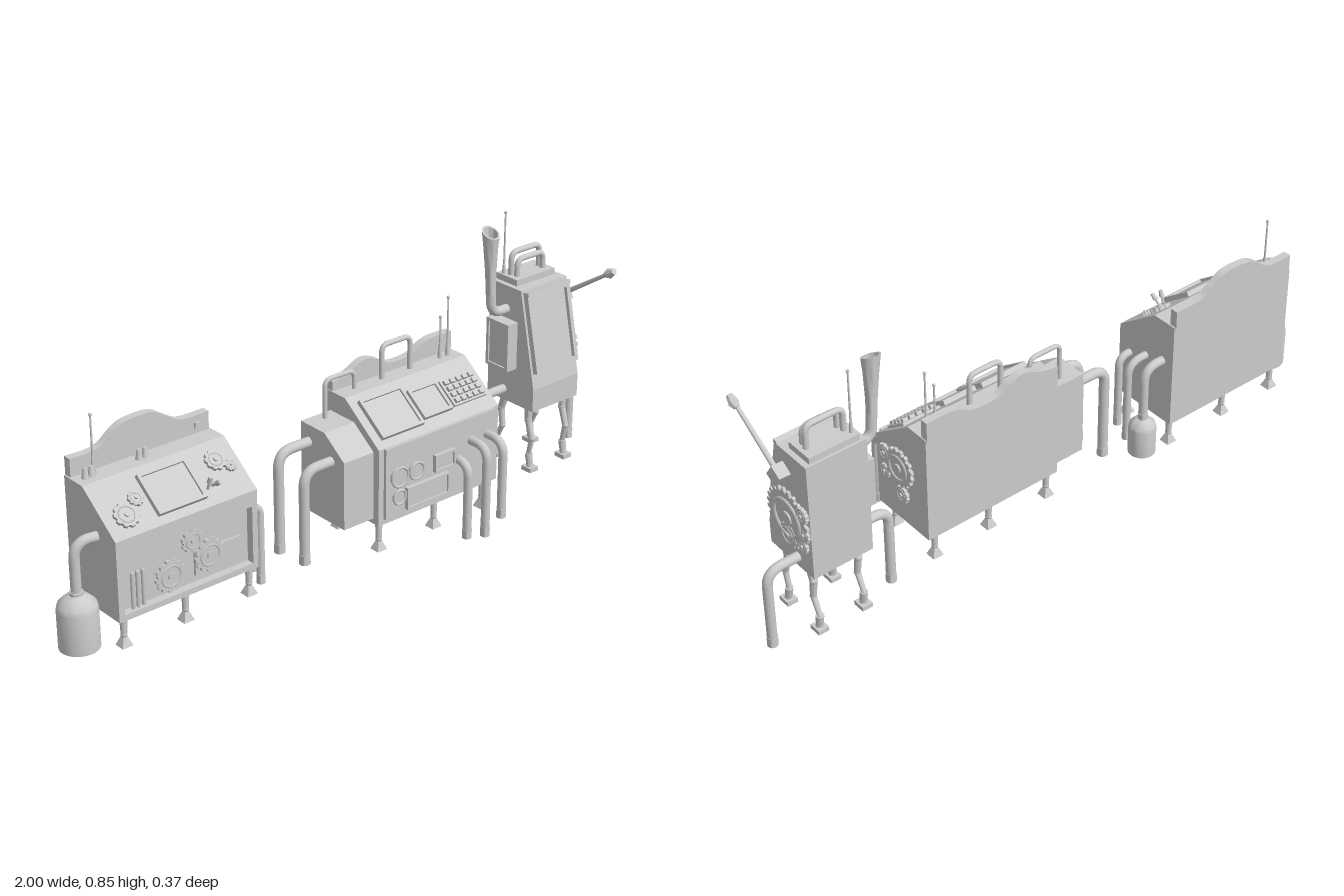
import * as THREE from 'three';
import { toCreasedNormals } from 'three/addons/utils/BufferGeometryUtils.js';

const grey = new THREE.MeshStandardMaterial({ color: 0xcccccc, side: THREE.DoubleSide });
const V = (x, y, z) => new THREE.Vector3(x, y, z);

function add(parent, name, geo, x = 0, y = 0, z = 0, rx = 0, ry = 0, rz = 0) {
  const m = new THREE.Mesh(geo, grey);
  m.name = name;
  m.position.set(x, y, z);
  m.rotation.set(rx, ry, rz);
  parent.add(m);
  return m;
}
function group(parent, name, x = 0, y = 0, z = 0, rx = 0) {
  const g = new THREE.Group();
  g.name = name;
  g.position.set(x, y, z);
  g.rotation.x = rx;
  parent.add(g);
  return g;
}
const box = (w, h, d) => new THREE.BoxGeometry(w, h, d);
const cyl = (r1, r2, h, n = 20) => toCreasedNormals(new THREE.CylinderGeometry(r1, r2, h, n), 0.7);
const polygon = pts => new THREE.Shape(pts.map(p => new THREE.Vector2(p[0], p[1])));
const extrude = (shape, depth) => new THREE.ExtrudeGeometry(shape, { depth, bevelEnabled: false });

// side profile given as [z, y], swept between x0 and x1
const sweepX = (parent, name, pts, x0, x1) =>
  add(parent, name, extrude(polygon(pts), x1 - x0), x1, 0, 0, 0, -Math.PI / 2);

// rectangular frame facing +z
function frame(w, h, border, depth) {
  const rect = (a, b) => [[-a, -b], [a, -b], [a, b], [-a, b]];
  const s = polygon(rect(w / 2, h / 2));
  s.holes.push(polygon(rect(w / 2 - border, h / 2 - border)));
  return extrude(s, depth);
}

// tube through points with rounded corners and a closed collar at its end
function pipe(parent, name, pts, r, bend = 0.05, collar = true) {
  const path = new THREE.CurvePath();
  let from = pts[0];
  for (let i = 1; i < pts.length - 1; i++) {
    const a = pts[i].clone().add(pts[i - 1].clone().sub(pts[i]).setLength(bend));
    const b = pts[i].clone().add(pts[i + 1].clone().sub(pts[i]).setLength(bend));
    path.add(new THREE.LineCurve3(from, a));
    path.add(new THREE.QuadraticBezierCurve3(a, pts[i], b));
    from = b;
  }
  const end = pts[pts.length - 1];
  path.add(new THREE.LineCurve3(from, end));
  add(parent, name, new THREE.TubeGeometry(path, 48, r, 14), 0, 0, 0);
  if (collar) add(parent, name + 'Collar', cyl(r * 1.08, r * 1.08, 0.03), end.x, end.y + 0.015, end.z);
}
const handle = (parent, x0, y0, x1, y1, top, z, r) =>
  pipe(parent, 'handle', [V(x0, y0, z), V(x0, top, z), V(x1, top, z), V(x1, y1, z)], r, 0.025, false);

// toothed wheel facing +z, with a raised hub
function gear(parent, r, x, y, z, rx = 0, ry = 0, depth = 0.01) {
  const teeth = Math.max(10, Math.round(r * 260)), pts = [];
  for (let i = 0; i < teeth; i++)
    [[0, 0.88], [0.25, 0.88], [0.4, 1], [0.8, 1]].forEach(([f, k]) => {
      const a = (i + f) / teeth * Math.PI * 2;
      pts.push([Math.cos(a) * r * k, Math.sin(a) * r * k]);
    });
  const m = add(parent, 'gear', extrude(polygon(pts), depth), x, y, z, rx, ry);
  add(m, 'gearHub', cyl(r * 0.22, r * 0.22, 0.006), 0, 0, depth + 0.002, Math.PI / 2);
  add(m, 'gearRing', new THREE.TorusGeometry(r * 0.62, r * 0.06, 6, 28), 0, 0, depth);
}
function antenna(parent, x, y, z, h) {
  add(parent, 'antennaBase', cyl(0.004, 0.008, 0.05), x, y + 0.025, z);
  add(parent, 'antennaRod', cyl(0.0025, 0.0035, h), x, y + h / 2, z);
  add(parent, 'antennaTip', new THREE.SphereGeometry(0.005, 10, 8), x, y + h - 0.004, z);
}
function shortLeg(parent, x, z, top) {
  add(parent, 'legPost', cyl(0.011, 0.009, top - 0.065), x, (top + 0.065) / 2, z);
  add(parent, 'legAnkle', new THREE.SphereGeometry(0.01, 12, 8), x, 0.064, z);
  add(parent, 'legFoot', new THREE.CylinderGeometry(0.008, 0.025, 0.03, 4).toNonIndexed(), x, 0.045, z, 0, Math.PI / 4)
    .geometry.computeVertexNormals();
}
// curved-top panel at the rear of a console
function backboard(parent, x0, x1, base, top, z) {
  const s = new THREE.Shape();
  s.moveTo(x0, base);
  s.lineTo(top[0][0], top[0][1]);
  s.splineThru(top.slice(1).map(p => new THREE.Vector2(p[0], p[1])));
  s.lineTo(x1, base);
  add(parent, 'backboard', extrude(s, 0.025), 0, 0, z);
}
function tank(parent, x, z, r, h) {
  const p = [[0, 0], [r, 0], [r, h * 0.7], [r * 0.93, h * 0.79], [r * 0.6, h * 0.9], [r * 0.34, h * 0.95], [r * 0.34, h], [0, h]];
  add(parent, 'tank', toCreasedNormals(new THREE.LatheGeometry(p.map(q => new THREE.Vector2(...q)), 32), 0.9), x, 0.027, z);
}
const tilt = Math.atan2(0.11, 0.145);
function screen(parent, x, z, w, h) {
  add(parent, 'screen', box(w, 0.008, h), x, 0.004, z);
  add(parent, 'screenFrame', frame(w, h, 0.01, 0.008), x, 0.007, z, -Math.PI / 2);
}
function stick(parent, x, z, h, lean) {
  const g = group(parent, 'stick', x, 0, z, lean);
  add(g, 'stickRod', cyl(0.004, 0.004, h), 0, h / 2, 0);
  add(g, 'stickKnob', cyl(0.006, 0.008, 0.02), 0, h, 0);
}

function gearConsole(root) {
  const g = group(root, 'gearConsole');
  const L = -0.874, R = -0.404, mid = (L + R) / 2;
  sweepX(g, 'body', [[-0.185, 0.115], [0.02, 0.115], [0.02, 0.33], [0.045, 0.33], [0.045, 0.36], [-0.1, 0.47], [-0.185, 0.47]], L, R);
  add(g, 'frontFrame', frame(R - L, 0.215, 0.018, 0.025), mid, 0.2225, 0.02);
  backboard(g, L + 0.005, R - 0.005, 0.46, [[-0.869, 0.525], [-0.78, 0.527], [-0.72, 0.565], [-0.68, 0.58], [-0.6, 0.58],
    [-0.55, 0.553], [-0.5, 0.527], [-0.409, 0.525]], -0.187);
  add(g, 'boardSwitch', box(0.018, 0.018, 0.008), -0.45, 0.495, -0.16);
  // works inside the front recess
  [[0.05, -0.69, 0.185], [0.036, -0.617, 0.27], [0.05, -0.565, 0.21]].forEach(([r, x, y], i) => gear(g, r, x, y, 0.02 + 0.005 * i));
  add(g, 'frontPlate', box(0.155, 0.07, 0.01), -0.53, 0.19, 0.023);
  [-0.817, -0.8, -0.782].forEach(x => add(g, 'frontTube', new THREE.CapsuleGeometry(0.006, 0.11, 4, 10), x, 0.185, 0.03));
  // sloping desk
  const d = group(g, 'desk', 0, 0.415, -0.0275, tilt);
  screen(d, -0.64, 0, 0.16, 0.13);
  gear(d, 0.038, -0.805, 0, 0.03, -Math.PI / 2);
  gear(d, 0.023, -0.755, 0, -0.005, -Math.PI / 2);
  gear(d, 0.032, -0.475, 0, -0.03, -Math.PI / 2);
  gear(d, 0.018, -0.44, 0, 0.0, -Math.PI / 2);
  [[-0.54, 0.04, -0.3], [-0.522, 0.035, 0.3]].forEach(([x, z, a]) => stick(d, x, z, 0.035, a));
  // ledge fittings
  [-0.84, -0.82, -0.665, -0.645].forEach(x => add(g, 'ledgeKnob', cyl(0.005, 0.011, 0.03), x, 0.485, -0.135));
  antenna(g, -0.81, 0.47, -0.14, 0.18);
  [-0.85, -0.645, -0.425].forEach(x => [0.026, -0.16].forEach(z => shortLeg(g, x, z, 0.117)));
  // tanks and side pipes
  tank(g, -0.942, -0.053, 0.058, 0.17);
  tank(g, -0.335, -0.14, 0.042, 0.13);
  pipe(g, 'leftPipe', [V(L, 0.345, -0.04), V(-0.942, 0.345, -0.053), V(-0.942, 0.17, -0.053)], 0.015);
  pipe(g, 'leftPipe', [V(L, 0.31, -0.09), V(-0.91, 0.31, -0.1), V(-0.91, 0.03, -0.1)], 0.013, 0.03);
  pipe(g, 'rightPipe', [V(R, 0.33, -0.14), V(-0.335, 0.33, -0.14), V(-0.335, 0.14, -0.14)], 0.014);
  pipe(g, 'rightPipe', [V(R, 0.31, -0.07), V(-0.335, 0.31, -0.07), V(-0.335, 0.03, -0.07)], 0.012);
  pipe(g, 'rightPipe', [V(R, 0.28, 0.0), V(-0.362, 0.28, 0.0), V(-0.362, 0.03, 0.0)], 0.012, 0.035);
}

function keypadConsole(root) {
  const g = group(root, 'keypadConsole');
  const R = 0.468;
  sweepX(g, 'body', [[-0.14, 0.119], [0.09, 0.119], [0.09, 0.363], [-0.06, 0.475], [-0.14, 0.475]], 0, R);
  sweepX(g, 'sideBox', [[-0.125, 0.136], [0.067, 0.136], [0.067, 0.35], [-0.02, 0.414], [-0.125, 0.414]], -0.11, 0);
  backboard(g, 0.003, R - 0.003, 0.465, [[0.003, 0.505], [0.06, 0.515], [0.12, 0.54], [0.17, 0.53], [0.22, 0.503],
    [0.3, 0.503], [0.37, 0.533], [0.465, 0.535]], -0.143);
  // front panel with dials and hatches
  add(g, 'frontPlate', box(0.43, 0.225, 0.01), 0.234, 0.25, 0.095);
  [[0.065, 0.265, 0.03], [0.13, 0.265, 0.026], [0.065, 0.2, 0.022]].forEach(([x, y, r]) => {
    add(g, 'dial', cyl(r, r, 0.012), x, y, 0.103, Math.PI / 2);
    add(g, 'dialRim', new THREE.TorusGeometry(r, 0.004, 8, 28), x, y, 0.109);
  });
  [[0.24, 0.262, 0.08, 0.055], [0.175, 0.185, 0.165, 0.07]].forEach(([x, y, w, h]) => {
    add(g, 'hatch', box(w, h, 0.008), x, y, 0.103);
    add(g, 'hatchFrame', frame(w, h, 0.007, 0.008), x, y, 0.105);
  });
  // sloping desk
  const d = group(g, 'desk', 0, 0.419, 0.015, Math.atan2(0.112, 0.15));
  screen(d, 0.108, 0, 0.16, 0.135);
  screen(d, 0.253, 0.005, 0.112, 0.1);
  add(d, 'keypad', box(0.128, 0.008, 0.09), 0.385, 0.004, 0.005);
  for (let i = 0; i < 5; i++) for (let j = 0; j < 4; j++)
    add(d, 'key', box(0.017, 0.012, 0.014), 0.337 + i * 0.024, 0.012, -0.026 + j * 0.021);
  // ledge fittings
  handle(g, -0.045, 0.41, 0.065, 0.47, 0.533, -0.095, 0.007);
  handle(g, 0.17, 0.47, 0.28, 0.47, 0.58, -0.095, 0.008);
  antenna(g, 0.4, 0.47, -0.095, 0.14);
  antenna(g, 0.43, 0.47, -0.095, 0.195);
  [0.02, 0.235, 0.43].forEach(x => [0.068, -0.115].forEach(z => shortLeg(g, x, z, 0.121)));
  // gears on the end wall
  [[0.063, 0.31, -0.02], [0.028, 0.325, 0.045], [0.028, 0.22, -0.03], [0.022, 0.26, 0.045]]
    .forEach(([r, y, z]) => gear(g, r, R, y, z, 0, Math.PI / 2));
  // front and side pipes
  [[0.3, 0.243, 0.145, 0], [0.35, 0.29, 0.17, 0], [0.415, 0.29, 0.17, 0.04]].forEach(([x, y, z, end]) =>
    pipe(g, 'frontPipe', [V(x, y, 0.09), V(x, y, z), V(x, end, z)], 0.0135, 0.045));
  [[0.36, -0.222, -0.09], [0.335, -0.21, 0.01]].forEach(([y, x, z]) =>
    pipe(g, 'sidePipe', [V(-0.11, y, z), V(x, y, z), V(x, 0.04, z)], 0.0155));
}

function walkingCabinet(root) {
  const g = group(root, 'walkingCabinet');
  const L = 0.687, R = 0.88, mid = (L + R) / 2;
  sweepX(g, 'body', [[-0.183, 0.245], [0.017, 0.245], [0.017, 0.32], [-0.05, 0.625], [-0.183, 0.625]], L, R);
  // leaning front panel
  const p = group(g, 'frontPanel', mid, 0.49, -0.02, -0.217);
  add(p, 'panelFrame', frame(0.178, 0.25, 0.014, 0.018));
  add(p, 'panelInset', box(0.155, 0.225, 0.008), 0, 0, 0.002);
  add(p, 'panelRidge', box(0.178, 0.012, 0.025), 0, 0.125, 0.01);
  // top plate, handles and antenna
  add(g, 'topPlate', box(0.16, 0.02, 0.09), mid, 0.635, -0.13);
  handle(g, 0.73, 0.63, 0.838, 0.63, 0.698, -0.113, 0.009);
  handle(g, 0.725, 0.63, 0.843, 0.63, 0.716, -0.134, 0.009);
  antenna(g, 0.715, 0.625, -0.155, 0.22);
  // side cupboard
  add(g, 'cupboard', box(0.035, 0.155, 0.095), 0.67, 0.442, -0.107);
  add(g, 'cupboardFrame', frame(0.095, 0.155, 0.01, 0.006), 0.653, 0.442, -0.107, 0, -Math.PI / 2);
  // horn with a slanted mouth
  pipe(g, 'hornPipe', [V(L, 0.55, -0.11), V(0.622, 0.55, -0.11), V(0.618, 0.64, -0.11)], 0.015, 0.04, false);
  const horn = new THREE.LatheGeometry([[0.015, 0], [0.017, 0.07], [0.022, 0.15], [0.027, 0.2], [0.022, 0.2], [0.012, 0.1], [0, 0.1]]
    .map(q => new THREE.Vector2(...q)), 24);
  const pos = horn.attributes.position;
  for (let i = 0; i < pos.count; i++) {
    const y = pos.getY(i);
    if (y > 0.16) pos.setY(i, y - pos.getZ(i) * 0.5);
  }
  horn.computeVertexNormals();
  add(g, 'horn', toCreasedNormals(horn, 0.8), 0.618, 0.615, -0.11, 0, 0, 0.035);
  // gears and lever on the other wall
  [[0.093, 0.403, -0.088], [0.024, 0.455, -0.158], [0.023, 0.39, -0.16], [0.04, 0.343, -0.087], [0.022, 0.344, -0.15]]
    .forEach(([r, y, z], i) => gear(g, r, R, y, z, 0, Math.PI / 2, 0.009 + 0.002 * (i % 2)));
  const lever = group(g, 'lever', 0.898, 0.553, -0.08, 0.993);
  add(lever, 'leverBlock', box(0.036, 0.042, 0.048));
  add(lever, 'leverRod', cyl(0.006, 0.008, 0.21), 0, 0.11, 0);
  add(lever, 'leverKnob', cyl(0.01, 0.016, 0.024, 8), 0.002, 0.236, 0);
  add(lever, 'leverKnobBase', cyl(0.016, 0.009, 0.016, 8), 0.002, 0.216, 0);
  // side pipes, mirrored
  [-1, 1].forEach(s => pipe(g, 'sidePipe', [V(mid + s * 0.09, 0.28, -0.113), V(mid + s * 0.2, 0.28, -0.113), V(mid + s * 0.2, 0.02, -0.113)], 0.0145));
  // jointed legs: [z, y] from hip to ankle
  const legs = [[[-0.022, 0.25], [-0.022, 0.2], [-0.004, 0.14], [-0.015, 0.085], [-0.008, 0.045]],
    [[-0.125, 0.25], [-0.142, 0.2], [-0.135, 0.14], [-0.16, 0.085], [-0.155, 0.045]]];
  [0.71, 0.857].forEach(x => legs.forEach(leg => {
    for (let i = 0; i < 4; i++) {
      const [z0, y0] = leg[i], [z1, y1] = leg[i + 1];
      const r = [0.013, 0.011, 0.009, 0.012][i];
      add(g, 'legSegment', cyl(r, r * 0.85, Math.hypot(z1 - z0, y1 - y0)), x, (y0 + y1) / 2, (z0 + z1) / 2, Math.atan2(z0 - z1, y0 - y1));
      add(g, 'legJoint', new THREE.SphereGeometry(r * 0.95, 12, 8), x, y1, z1);
    }
    add(g, 'foot', box(0.034, 0.014, 0.04), x, 0.037, leg[4][0]);
  }));
}

export function createModel() {
  const root = new THREE.Group();
  root.name = 'machineSet';
  gearConsole(root);
  keypadConsole(root);
  walkingCabinet(root);
  return root;
}
